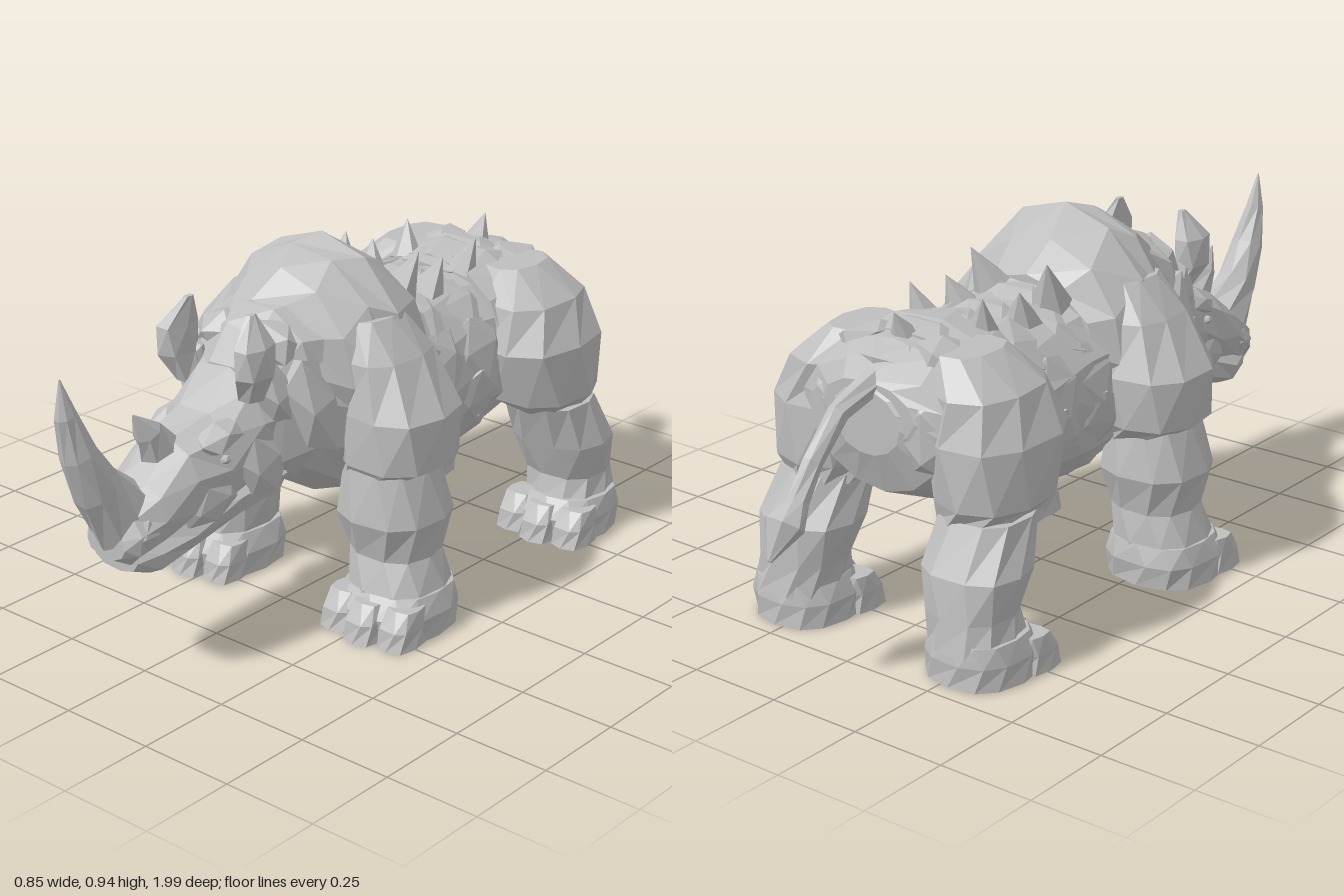
import * as THREE from 'three';

const stone = new THREE.MeshStandardMaterial({ color: 0xbebebe });
stone.name = 'stone grey';

let seed = 7;
const rand = () => {
  seed = (seed * 16807) % 2147483647;
  return seed / 2147483647 - 0.5;
};

// Flat-faced mesh
function addMesh(parent, name, geometry) {
  const g = geometry.index ? geometry.toNonIndexed() : geometry;
  g.computeVertexNormals();
  const mesh = new THREE.Mesh(g, stone);
  mesh.name = name;
  parent.add(mesh);
  return mesh;
}

// Skin over rings [x, y, z, half width, half depth, tilt]; tilt 0 faces +z, 90 faces up
function loft(parent, name, rings, sides = 10, jitter = 0.06, power = 0.85) {
  const pos = [], idx = [];
  const bend = (v) => Math.sign(v) * Math.pow(Math.abs(v), power);
  rings.forEach(([x, y, z, rx, rv, tilt = 0], i) => {
    const t = THREE.MathUtils.degToRad(tilt);
    for (let j = 0; j < sides; j++) {
      const a = ((j + (i % 2) * 0.3) / sides) * Math.PI * 2;
      const k = 1 + rand() * jitter;
      const u = bend(Math.cos(a)) * rx * k, v = bend(Math.sin(a)) * rv * k;
      pos.push(x + u, y + v * Math.cos(t), z - v * Math.sin(t));
    }
  });
  for (let i = 0; i < rings.length - 1; i++) {
    for (let j = 0; j < sides; j++) {
      const a = i * sides + j, b = i * sides + ((j + 1) % sides);
      idx.push(a, b, b + sides, a, b + sides, a + sides);
    }
  }
  // End caps
  const first = pos.length / 3, last = (rings.length - 1) * sides;
  pos.push(...rings[0].slice(0, 3), ...rings[rings.length - 1].slice(0, 3));
  for (let j = 0; j < sides; j++) {
    const n = (j + 1) % sides;
    idx.push(first, n, j, first + 1, last + j, last + n);
  }
  const g = new THREE.BufferGeometry();
  g.setAttribute('position', new THREE.Float32BufferAttribute(pos, 3));
  g.setIndex(idx);
  return addMesh(parent, name, g);
}

// Rings given as [z, bottom, top, half width] for parts running forward
const span = (rows) => rows.map(([z, lo, hi, w]) => [0, (lo + hi) / 2, z, w, (hi - lo) / 2, 0]);
// Rings given as [y, inner x, outer x, back z, front z] for parts running upward
const column = (s, rows) => rows.map(([y, x0, x1, z0, z1]) =>
  [s * (x0 + x1) / 2, y, (z0 + z1) / 2, (x1 - x0) / 2, (z1 - z0) / 2, 90]);

// Faceted lump of armour
function plate(parent, name, p, size, rot = [0, 0, 0]) {
  const m = addMesh(parent, name, new THREE.IcosahedronGeometry(1, 0));
  m.position.set(...p);
  m.scale.set(...size);
  m.rotation.set(...rot);
}

function spike(parent, x, y, z, r, h, lean) {
  const m = addMesh(parent, 'backSpike', new THREE.ConeGeometry(r, h, 6).translate(0, h / 2, 0));
  m.position.set(x, y, z);
  m.rotation.set(lean, 0, -x * 2.5);
}

export function createModel() {
  seed = 7;
  const model = new THREE.Group();
  model.name = 'armouredRhino';

  // Body core and the armour shells over it
  loft(model, 'torso', span([
    [-0.66, 0.5, 0.66, 0.1], [-0.62, 0.4, 0.72, 0.2], [-0.45, 0.33, 0.76, 0.26],
    [-0.28, 0.28, 0.75, 0.25], [-0.1, 0.255, 0.76, 0.255], [0.05, 0.26, 0.82, 0.25],
    [0.2, 0.3, 0.82, 0.24], [0.32, 0.36, 0.79, 0.19], [0.42, 0.39, 0.75, 0.14],
  ]), 14, 0.05, 0.97);
  loft(model, 'shoulderShell', span([
    [-0.06, 0.44, 0.79, 0.22], [-0.01, 0.38, 0.875, 0.26], [0.1, 0.33, 0.94, 0.28],
    [0.17, 0.34, 0.925, 0.27], [0.25, 0.38, 0.88, 0.23], [0.33, 0.46, 0.825, 0.17],
  ]), 12, 0.04, 1.06);
  loft(model, 'rumpShell', span([
    [-0.655, 0.53, 0.68, 0.14], [-0.63, 0.45, 0.725, 0.23], [-0.56, 0.39, 0.76, 0.26],
    [-0.43, 0.37, 0.785, 0.265], [-0.32, 0.43, 0.77, 0.235],
  ]), 12, 0.05, 0.97);
  loft(model, 'neckCollar', span([
    [0.26, 0.4, 0.84, 0.2], [0.34, 0.37, 0.82, 0.19], [0.41, 0.385, 0.78, 0.155], [0.46, 0.41, 0.7, 0.12],
  ]), 11, 0.1, 0.9);

  // Head
  loft(model, 'head', span([
    [0.36, 0.42, 0.75, 0.15], [0.46, 0.39, 0.7, 0.135], [0.56, 0.37, 0.62, 0.125],
    [0.66, 0.36, 0.58, 0.11], [0.76, 0.34, 0.51, 0.1], [0.83, 0.32, 0.46, 0.09], [0.86, 0.34, 0.41, 0.06],
  ]), 10);
  loft(model, 'lowerJaw', span([
    [0.38, 0.36, 0.5, 0.13], [0.52, 0.335, 0.45, 0.115], [0.66, 0.3, 0.41, 0.1],
    [0.76, 0.275, 0.38, 0.09], [0.83, 0.3, 0.37, 0.07],
  ]), 9);
  loft(model, 'noseHorn', [
    [0, 0.43, 0.81, 0.072, 0.09, 40], [0, 0.53, 0.885, 0.056, 0.062, 50], [0, 0.63, 0.935, 0.042, 0.046, 65],
    [0, 0.73, 0.967, 0.024, 0.028, 75], [0, 0.82, 0.98, 0.002, 0.002, 85],
  ], 8, 0.03, 1);
  loft(model, 'browHorn', [
    [0, 0.55, 0.67, 0.045, 0.06, 75], [0, 0.61, 0.715, 0.034, 0.036, 60], [0, 0.665, 0.76, 0.002, 0.002, 60],
  ], 7, 0.03, 1);

  // Tail, from the tuft tip up to the root
  loft(model, 'tail', [
    [0, 0.345, -0.995, 0.006, 0.006, 50], [0, 0.42, -0.945, 0.055, 0.045, 52], [0, 0.46, -0.895, 0.027, 0.026, 55],
    [0, 0.54, -0.845, 0.025, 0.026, 52], [0, 0.63, -0.755, 0.026, 0.028, 35], [0, 0.68, -0.62, 0.035, 0.035, 15],
  ], 7, 0.04, 1);

  // Spikes along the back
  for (const s of [-1, 1]) {
    spike(model, s * 0.09, 0.74, -0.075, 0.055, 0.13, -0.45);
    spike(model, s * 0.09, 0.71, -0.19, 0.055, 0.11, -0.4);
    spike(model, s * 0.09, 0.735, -0.34, 0.042, 0.1, -0.3);
  }
  spike(model, 0, 0.755, -0.52, 0.035, 0.075, -0.5);

  // Overlapping spine plates
  for (const [z, y, w] of [[-0.56, 0.725, 0.1], [-0.46, 0.75, 0.11], [-0.35, 0.74, 0.1], [-0.22, 0.73, 0.1], [-0.1, 0.74, 0.1]]) {
    plate(model, 'spinePlate', [0, y, z], [w, 0.032, 0.085], [rand() * 0.3, 0, 0]);
  }

  for (const s of [-1, 1]) {
    const side = new THREE.Group();
    side.name = s > 0 ? 'leftSide' : 'rightSide';
    model.add(side);

    // Ear: broad blade
    loft(side, 'ear', [
      [s * 0.1, 0.64, 0.46, 0.03, 0.04, 90], [s * 0.125, 0.71, 0.48, 0.04, 0.058, 90],
      [s * 0.125, 0.78, 0.48, 0.034, 0.058, 90], [s * 0.1, 0.85, 0.465, 0.008, 0.014, 90],
    ], 6);

    // Face armour
    plate(side, 'brow', [s * 0.085, 0.575, 0.56], [0.045, 0.03, 0.08], [0.35, 0, s * -0.5]);
    plate(side, 'eye', [s * 0.115, 0.525, 0.575], [0.012, 0.012, 0.018]);
    plate(side, 'cheekPlate', [s * 0.12, 0.48, 0.46], [0.035, 0.1, 0.075], [0.4, 0, s * 0.1]);
    plate(side, 'jawPlate', [s * 0.095, 0.42, 0.61], [0.025, 0.055, 0.09], [0.3, s * -0.15, 0]);
    plate(side, 'nostrilRidge', [s * 0.065, 0.4, 0.8], [0.035, 0.045, 0.045]);
    plate(side, 'neckPlate', [s * 0.17, 0.6, 0.33], [0.05, 0.15, 0.075], [0.3, 0, s * 0.2]);
    plate(side, 'templePlate', [s * 0.12, 0.64, 0.41], [0.05, 0.11, 0.06], [0.4, 0, s * 0.15]);
    plate(side, 'nape', [s * 0.08, 0.75, 0.37], [0.08, 0.05, 0.07], [0.35, 0, s * -0.4]);

    // Rump cladding
    plate(side, 'rumpPlate', [s * 0.13, 0.725, -0.5], [0.09, 0.035, 0.1], [0.15, 0, s * -0.35]);
    plate(side, 'rumpPlate', [s * 0.15, 0.57, -0.615], [0.085, 0.12, 0.045], [0, s * -0.2, 0]);

    // Broad flank plates, wrapped round the ribs
    for (let row = 0; row < 2; row++) {
      for (let col = 0; col < 4; col++) {
        const a = -0.75 + col * 0.55;
        plate(side, 'flankPlate',
          [s * 0.23 * Math.cos(a), 0.51 + 0.22 * Math.sin(a), -0.09 - row * 0.15 + rand() * 0.03],
          [0.03, 0.095, 0.11], [rand() * 0.8, 0, s * a]);
      }
    }

    // Front leg
    loft(side, 'shoulder', column(s, [
      [0.365, 0.14, 0.29, 0.03, 0.22], [0.43, 0.13, 0.4, -0.02, 0.265], [0.56, 0.14, 0.405, -0.03, 0.27],
      [0.69, 0.13, 0.315, 0, 0.25], [0.78, 0.13, 0.24, 0.04, 0.21],
    ]), 9, 0.05, 0.8);
    loft(side, 'frontLeg', column(s, [
      [0.08, 0.17, 0.4, 0.02, 0.26], [0.11, 0.17, 0.405, 0.02, 0.26], [0.19, 0.16, 0.375, 0.03, 0.235],
      [0.29, 0.13, 0.4, 0, 0.27], [0.43, 0.15, 0.36, 0.02, 0.25],
    ]), 10, 0.04, 0.8);
    loft(side, 'frontFoot', column(s, [
      [0, 0.15, 0.425, 0.02, 0.29], [0.06, 0.145, 0.425, 0.01, 0.29], [0.11, 0.165, 0.41, 0.02, 0.26],
    ]), 12, 0.04, 0.72);

    // Hind leg
    loft(side, 'thigh', column(s, [
      [0.36, 0.14, 0.33, -0.63, -0.42], [0.41, 0.12, 0.375, -0.645, -0.34], [0.56, 0.1, 0.38, -0.65, -0.29],
      [0.67, 0.1, 0.33, -0.63, -0.32], [0.75, 0.1, 0.23, -0.57, -0.38],
    ]), 9, 0.05, 0.82);
    loft(side, 'hindLeg', column(s, [
      [0.08, 0.17, 0.39, -0.71, -0.48], [0.16, 0.16, 0.37, -0.7, -0.5], [0.26, 0.13, 0.39, -0.69, -0.46],
      [0.38, 0.14, 0.36, -0.63, -0.41],
    ]), 10, 0.04, 0.8);
    loft(side, 'hindFoot', column(s, [
      [0, 0.15, 0.4, -0.71, -0.45], [0.06, 0.15, 0.405, -0.71, -0.45], [0.11, 0.17, 0.39, -0.7, -0.48],
    ]), 12, 0.04, 0.8);

    // Three toes on each foot
    for (const [x, z] of [[0.29, 0.27], [0.275, -0.47]]) {
      for (let t = -1; t <= 1; t++) {
        const cx = x + t * 0.09, cz = z - Math.abs(t) * 0.02;
        loft(side, 'toe', column(s, [
          [0, cx - 0.046, cx + 0.046, cz - 0.06, cz + 0.06], [0.05, cx - 0.046, cx + 0.046, cz - 0.06, cz + 0.05],
          [0.095, cx - 0.04, cx + 0.04, cz - 0.06, cz + 0.02],
        ]), 8, 0.03, 0.6);
      }
    }
  }
  return model;
}
